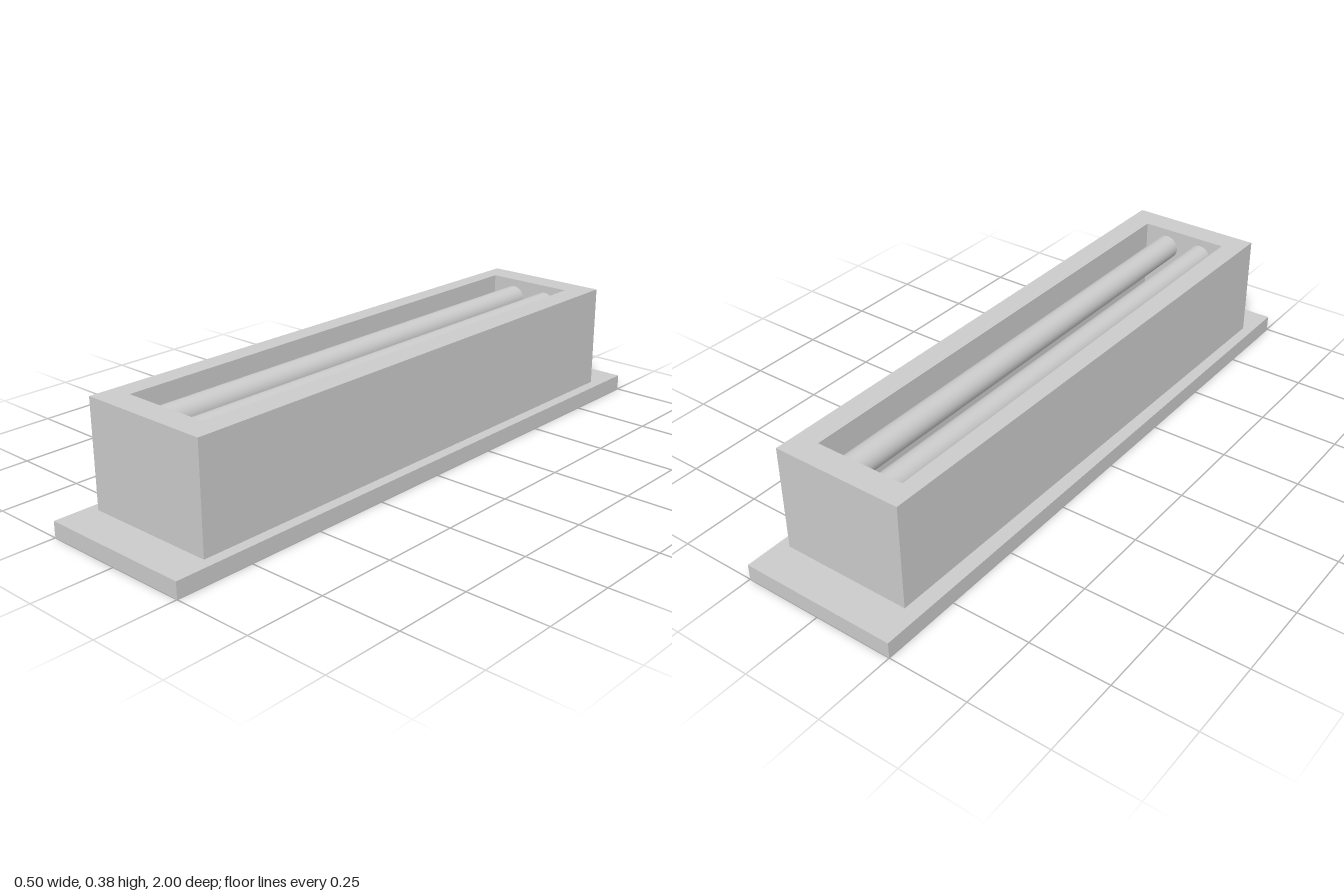
import * as THREE from 'three';

export function createModel() {
  const group = new THREE.Group();
  const material = new THREE.MeshStandardMaterial({ color: 0xcccccc });
  const add = (name, geometry, x = 0, y = 0, z = 0) => {
    const mesh = new THREE.Mesh(geometry, material);
    mesh.name = name;
    mesh.position.set(x, y, z);
    group.add(mesh);
  };
  // Closed outline from plan corners [x, z]
  const plan = (corners) => corners.map(([x, z]) => new THREE.Vector2(x, -z));

  const baseHeight = 0.05, topHeight = 0.38;

  // Flat base plate
  add('basePlate', new THREE.BoxGeometry(0.5, baseHeight, 2), 0, baseHeight / 2);

  // Open-topped housing, slightly narrower at the back left corner
  const outline = new THREE.Shape(
    plan([[-0.216, 0.88], [0.215, 0.88], [0.215, -0.88], [-0.2, -0.88]]));
  outline.holes.push(new THREE.Path(
    plan([[-0.148, 0.8], [-0.148, -0.8], [0.142, -0.8], [0.142, 0.8], [-0.148, 0.8]])));
  const housing = new THREE.ExtrudeGeometry(outline, {
    depth: topHeight - baseHeight, bevelEnabled: false,
  }).rotateX(-Math.PI / 2);
  add('housing', housing, 0, baseHeight);

  // Two long tubes spanning the opening between the end walls
  const tube = new THREE.CylinderGeometry(0.04, 0.04, 1.6, 32).rotateX(Math.PI / 2);
  add('rightTube', tube, -0.066, 0.316);
  add('leftTube', tube, 0.061, 0.316);

  return group;
}
